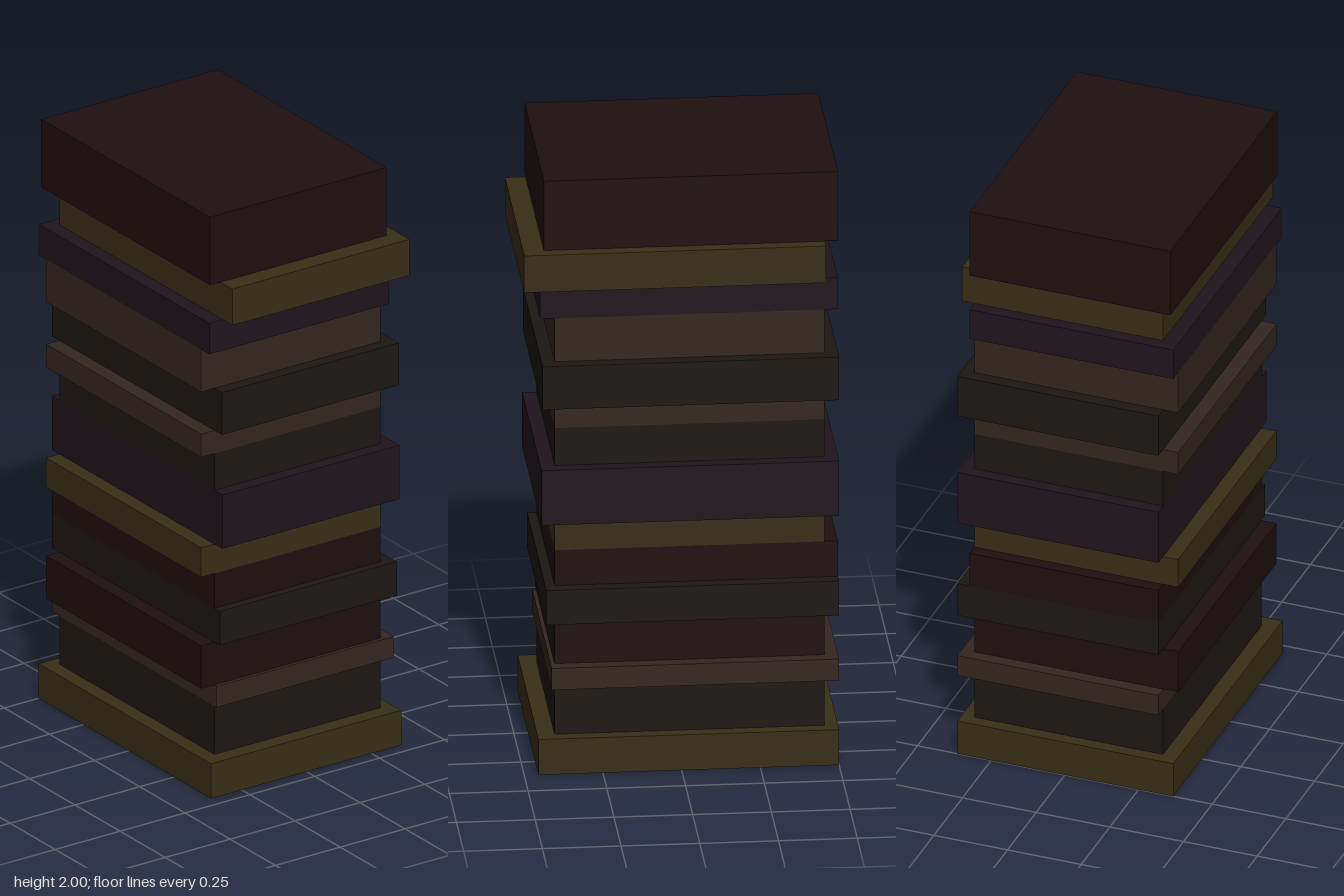
import * as THREE from 'three';

const material = (color) => new THREE.MeshStandardMaterial({ color });

export function createModel() {
  const group = new THREE.Group();
  group.name = 'bookStack';

  const olive = material(0x382e16);
  const black = material(0x1b1714);
  const brown = material(0x34261f);
  const maroon = material(0x1e0f0f);
  const plum = material(0x1e151c);

  // Shared edges of the shifted books
  const L = -0.368, l = -0.317, r = 0.323, R = 0.365;
  const B = -0.5, b = -0.458, f = 0.4;

  // Books from the bottom up: top height, left and right x, back and front z, cover
  const books = [
    [0.12, L, R, B, 0.455, olive],
    [0.287, l, r, b, f, black],
    [0.36, l, R, B, 0.413, brown],
    [0.508, L, r, b, f, maroon],
    [0.625, l, R, B, 0.43, black],
    [0.745, l, r, B, f, maroon],
    [0.847, L, r, b, f, olive],
    [1.033, l, R, B, 0.445, plum],
    [1.16, l, r, b, f, black],
    [1.24, L, r, b, f, brown],
    [1.386, l, R, B, 0.442, black],
    [1.533, L, r, b, f, brown],
    [1.64, L, r, B, 0.446, plum],
    [1.765, l, R, b, 0.5, olive],
    [2, -0.358, r, B, 0.434, maroon],
  ];

  let bottom = 0;
  books.forEach(([top, x0, x1, z0, z1, cover], i) => {
    const book = new THREE.Mesh(new THREE.BoxGeometry(x1 - x0, top - bottom, z1 - z0), cover);
    book.position.set((x0 + x1) / 2, (bottom + top) / 2, (z0 + z1) / 2);
    book.name = `book${i + 1}`;
    group.add(book);
    bottom = top;
  });

  return group;
}
